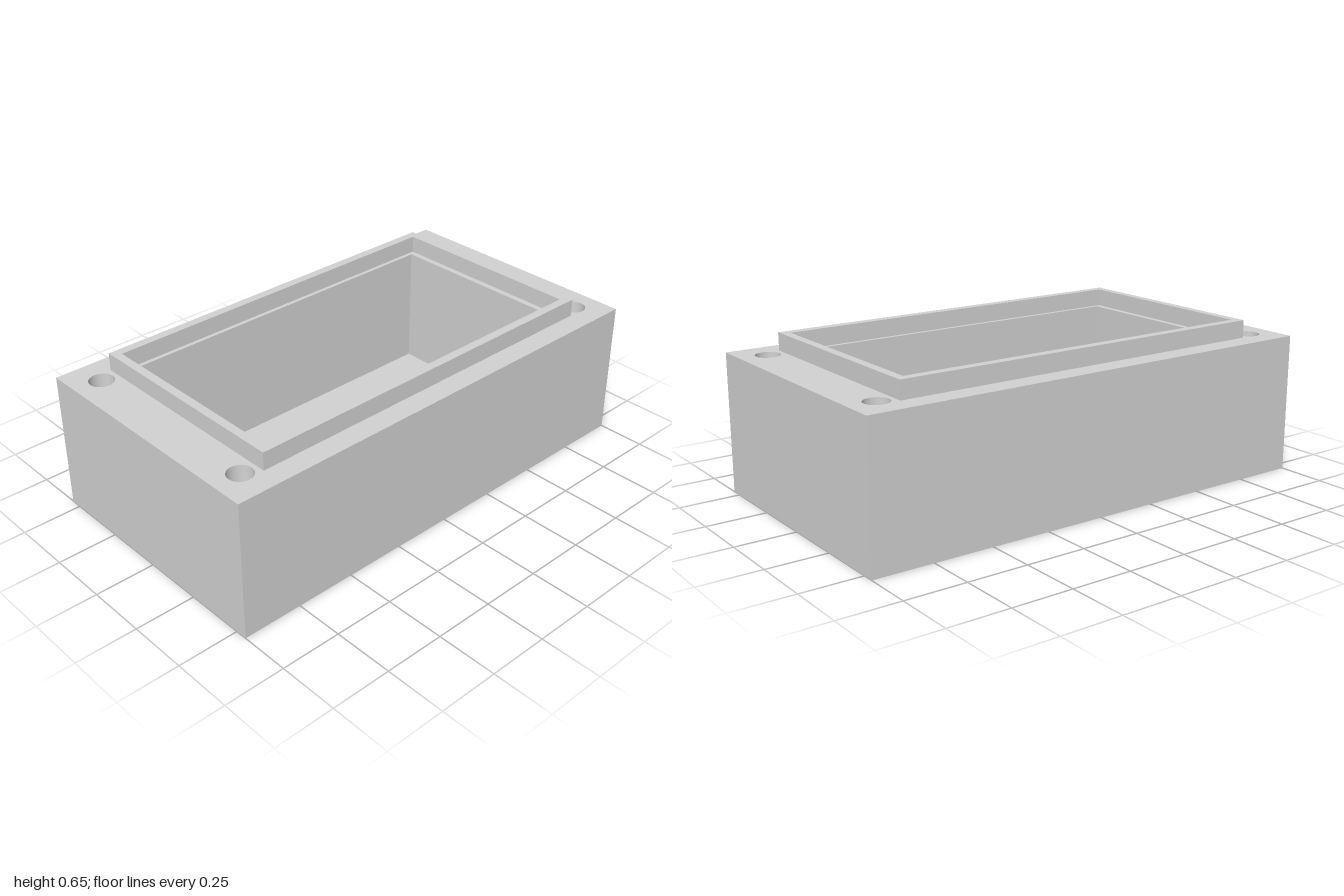
import * as THREE from 'three';
import { toCreasedNormals } from 'three/addons/utils/BufferGeometryUtils.js';

// Outlines run anticlockwise; openings run clockwise so their walls face inward
function rectangle(hx, hz, opening = false) {
  const corners = [[-hx, -hz], [hx, -hz], [hx, hz], [-hx, hz]].map(([x, z]) => new THREE.Vector2(x, z));
  if (opening) corners.reverse();
  return new THREE.Shape([...corners, corners[0].clone()]);
}

// Four round corner openings of the given radius
function cornerHoles(radius) {
  const holes = [];
  for (const x of [-0.885, 0.885]) {
    for (const z of [-0.415, 0.415]) {
      holes.push(new THREE.Path().absarc(x, z, radius, 0, Math.PI * 2, true));
    }
  }
  return holes;
}

export function createModel() {
  const group = new THREE.Group();
  group.name = 'enclosureBase';
  const grey = new THREE.MeshStandardMaterial({ color: 0xd2d2d2 });
  grey.name = 'lightGrey';

  function add(name, geometry) {
    const mesh = new THREE.Mesh(geometry, grey);
    mesh.name = name;
    group.add(mesh);
  }

  // Horizontal face with openings, facing up or down
  function face(name, outline, holes, y, up = true) {
    const shape = outline.clone();
    shape.holes = holes;
    const geometry = new THREE.ShapeGeometry(shape, 20);
    add(name, geometry.rotateX(up ? -Math.PI / 2 : Math.PI / 2).translate(0, y, 0));
  }

  // Upright wall along a closed path from y0 to y1
  function wall(name, path, y0, y1) {
    const points = path.getPoints(20);
    const positions = [];
    for (let i = 0; i < points.length - 1; i++) {
      const a = points[i], b = points[i + 1];
      positions.push(a.x, y0, -a.y, b.x, y0, -b.y, b.x, y1, -b.y);
      positions.push(a.x, y0, -a.y, b.x, y1, -b.y, a.x, y1, -a.y);
    }
    const geometry = new THREE.BufferGeometry();
    geometry.setAttribute('position', new THREE.Float32BufferAttribute(positions, 3));
    add(name, toCreasedNormals(geometry, 0.6));
  }

  const floorY = 0.06, boreY = 0.065, rimY = 0.574, lipY = 0.647;
  const body = rectangle(1, 0.548);
  const lip = rectangle(0.817, 0.457);
  const lipOpening = rectangle(0.782, 0.42, true);
  const cavity = rectangle(0.757, 0.403, true);
  const bores = cornerHoles(0.05);
  const counterbores = cornerHoles(0.108);

  // Outer body
  face('underside', body, counterbores, 0, false);
  wall('outerWalls', body, 0, rimY);
  face('rim', body, [lip, ...bores], rimY);

  // Raised lip with an inner ledge
  wall('lipOuterWalls', lip, rimY, lipY);
  face('lipTop', lip, [lipOpening], lipY);
  wall('lipInnerWalls', lipOpening, rimY, lipY);
  face('ledge', rectangle(0.782, 0.42), [cavity], rimY);

  // Cavity
  wall('cavityWalls', cavity, floorY, rimY);
  face('cavityFloor', rectangle(0.757, 0.403), [], floorY);

  // Screw holes, widened from below
  counterbores.forEach((counterbore, i) => {
    const seat = new THREE.Shape(counterbore.getPoints(20));
    wall('counterbore', counterbore, 0, boreY);
    face('screwSeat', seat, [bores[i]], boreY, false);
    wall('screwHole', bores[i], boreY, rimY);
  });

  return group;
}
